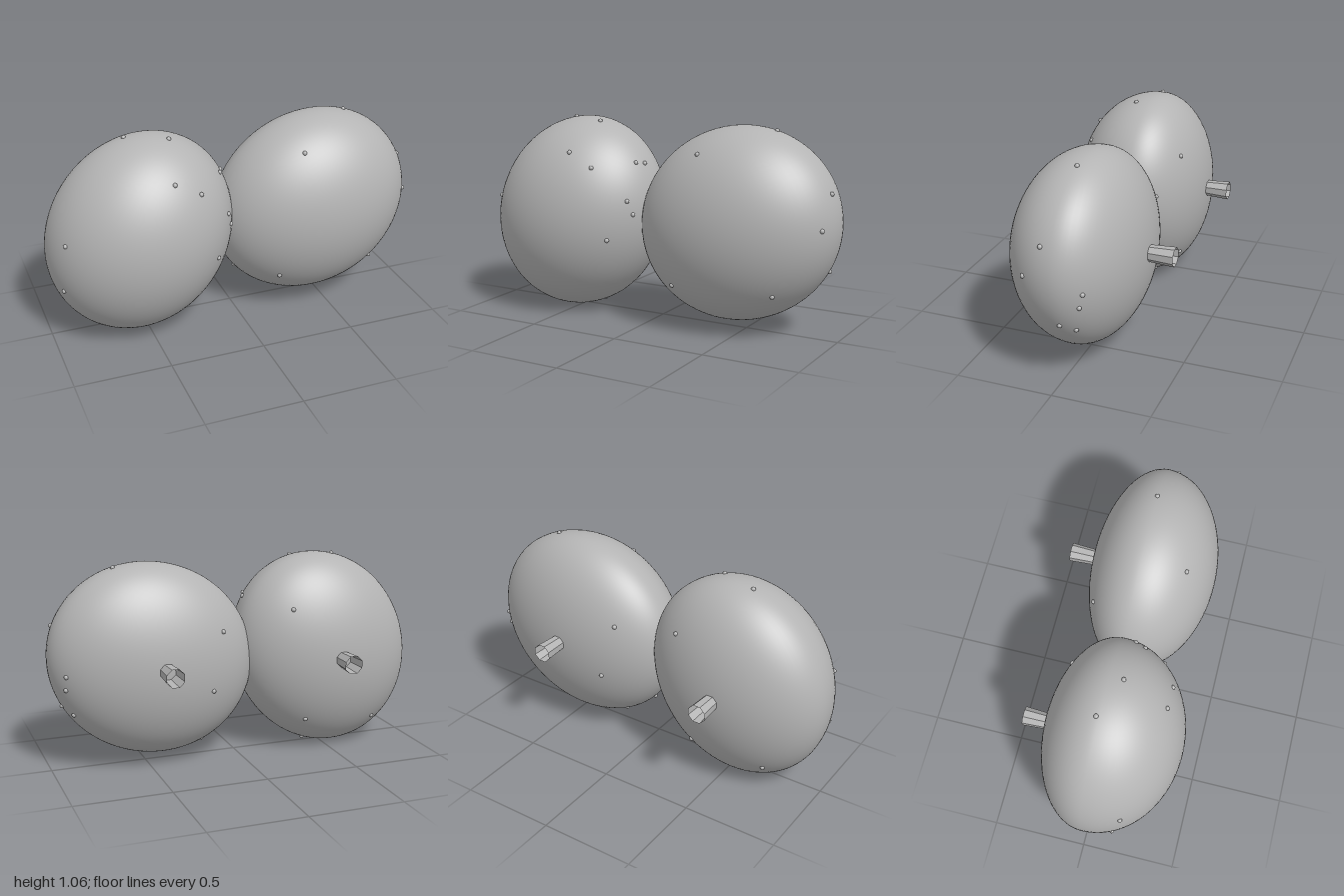
import * as THREE from 'three';

const grey = new THREE.MeshStandardMaterial({ color: 0xb4b4b4 });
grey.name = 'plainGrey';
const greyOpen = new THREE.MeshStandardMaterial({ color: 0xb4b4b4, side: THREE.DoubleSide, flatShading: true });
greyOpen.name = 'plainGreyStem';

// Two tilted ovals, each deeper at the front than at the back.
const PADS = [
  {
    name: 'rightPad', center: [-0.505, 0.53, 0], tilt: -0.492,
    a: 0.48, b: 0.544, front: 0.42, back: 0.31,
    spots: [
      [-0.56, 1.06, -0.015], [-0.345, 1.055, 0.07], [-0.39, 0.91, 0.31], [-0.25, 0.835, 0.31],
      [-0.085, 0.85, 0.12], [-0.065, 0.84, 0.065], [-0.95, 0.61, 0.2], [-0.945, 0.335, 0.15],
      [-0.16, 0.445, 0.305], [-0.075, 0.655, 0.23], [-0.055, 0.58, 0.205], [-0.39, 0.025, -0.04],
      [-0.25, 0.8, -0.225], [-0.34, 0.19, -0.2], [-0.74, 0.17, -0.17],
    ],
  },
  {
    name: 'leftPad', center: [0.455, 0.5525, 0], tilt: 0.384,
    a: 0.552, b: 0.5, front: 0.375, back: 0.3,
    spots: [
      [0.655, 1.055, -0.005], [0.32, 0.935, 0.235], [0.975, 0.76, 0.05], [0.97, 0.59, 0.15],
      [0.95, 0.345, -0.025], [0.745, 0.24, 0.225], [0.2, 0.255, 0.24], [0.02, 0.21, 0],
      [0.19, 0.085, -0.03], [0.2, 0.07, 0], [0.945, 0.53, -0.145], [0.955, 0.455, -0.13],
      [0.92, 0.3, -0.095], [0.13, 0.715, -0.22], [0.19, 0.41, -0.265],
    ],
  },
];

// Smooth oval with separate front and back depths
function padGeometry({ a, b, front, back }) {
  const geo = new THREE.SphereGeometry(1, 72, 48);
  const pos = geo.attributes.position, nor = geo.attributes.normal;
  const n = new THREE.Vector3();
  for (let i = 0; i < pos.count; i++) {
    const x = pos.getX(i), y = pos.getY(i), z = pos.getZ(i);
    const c = z > 0 ? front : back;
    pos.setXYZ(i, x * a, y * b, z * c);
    n.set(x / a, y / b, z / c).normalize();
    nor.setXYZ(i, n.x, n.y, n.z);
  }
  return geo;
}

// Moves a point onto the oval's surface, in the pad's own tilted frame
function snapToPad(point, pad, center) {
  const p = new THREE.Vector3(...point).sub(center);
  p.applyAxisAngle(new THREE.Vector3(0, 0, 1), -pad.tilt);
  const c = p.z > 0 ? pad.front : pad.back;
  p.set(p.x / pad.a, p.y / pad.b, p.z / c).normalize();
  return p.set(p.x * pad.a, p.y * pad.b, p.z * c);
}

export function createModel() {
  const model = new THREE.Group();
  model.name = 'spottedPads';
  const spotGeo = new THREE.SphereGeometry(0.012, 12, 8);
  // Hollow eight-sided stem, flared toward its open end
  const stemGeo = new THREE.CylinderGeometry(0.04, 0.05, 0.18, 8, 1, true);
  stemGeo.rotateY(Math.PI / 8).rotateX(Math.PI / 2);

  for (const pad of PADS) {
    const center = new THREE.Vector3(...pad.center);
    const group = new THREE.Group();
    group.name = pad.name;
    group.position.copy(center);
    group.rotation.z = pad.tilt;

    const body = new THREE.Mesh(padGeometry(pad), grey);
    body.name = 'padBody';
    group.add(body);

    for (const point of pad.spots) {
      const spot = new THREE.Mesh(spotGeo, grey);
      spot.name = 'spot';
      spot.position.copy(snapToPad(point, pad, center));
      group.add(spot);
    }

    const stem = new THREE.Mesh(stemGeo, greyOpen);
    stem.name = 'stem';
    stem.position.z = -0.34;
    stem.rotation.z = -pad.tilt;
    group.add(stem);
    model.add(group);
  }
  return model;
}
